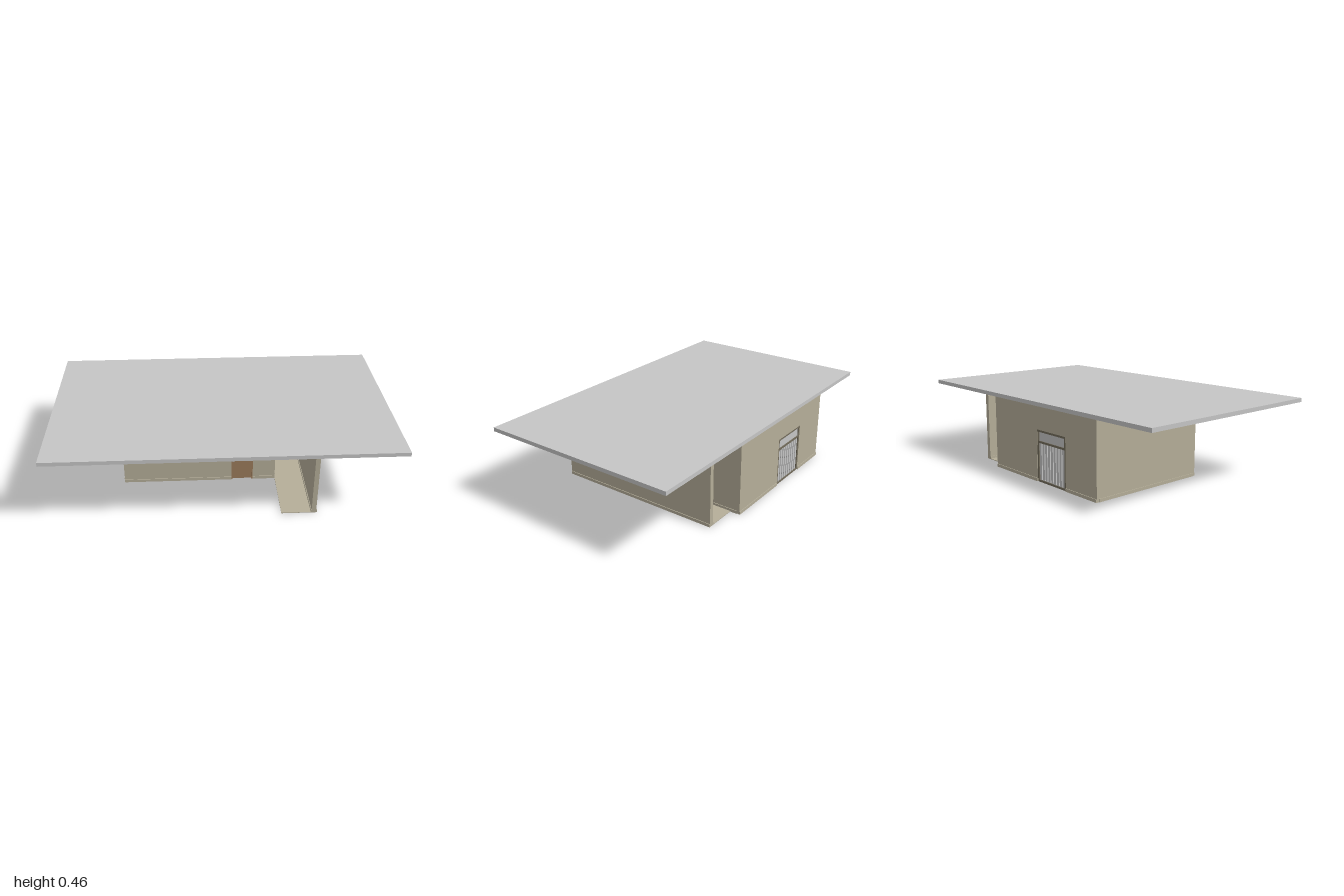
import * as THREE from 'three';

export function createModel() {
  const model = new THREE.Group();
  const mat = (name, color) => Object.assign(new THREE.MeshStandardMaterial({ color }), { name });
  const plaster = mat('plaster', 0xb5ae99);
  const concrete = mat('concrete', 0xc6c6c6);
  const wood = mat('wood', 0x9c7b5b);
  const frameMat = mat('dark frame', 0x736c5c);
  const metal = mat('light metal', 0xc4c4c4);

  // box given by its limits on each axis
  const box = (name, material, x0, x1, y0, y1, z0, z1, parent = model) => {
    const m = new THREE.Mesh(new THREE.BoxGeometry(x1 - x0, y1 - y0, z1 - z0), material);
    m.position.set((x0 + x1) / 2, (y0 + y1) / 2, (z0 + z1) / 2);
    m.name = name;
    parent.add(m);
    return m;
  };

  const TOP = 0.437, T = 0.018, SK = 0.004, SKH = 0.018, DOOR = 0.3;
  const X0 = -0.597, X1 = 0.327, Z0 = -0.583, Z1 = 0.163;

  // wall with an optional opening [from, to] reaching down to the ground
  const wall = (name, axis, a0, a1, c0, c1, opening) => {
    const g = new THREE.Group();
    g.name = name;
    const add = (part, s, e, y0, y1, d0, d1) => axis === 'x'
      ? box(part, plaster, s, e, y0, y1, d0, d1, g)
      : box(part, plaster, d0, d1, y0, y1, s, e, g);
    const runs = opening ? [[a0, opening[0]], [opening[1], a1]] : [[a0, a1]];
    for (const [s, e] of runs) {
      add('wallPanel', s, e, 0, TOP, c0, c1);
      add('skirting', s, e, 0, SKH, c0 - SK, c1 + SK);
    }
    if (opening) add('lintel', opening[0], opening[1], DOOR, TOP, c0, c1);
    model.add(g);
  };

  // roof slab
  box('roof', concrete, -1, 1, TOP, 0.46, -0.6, 0.6);

  // room walls, front door, back gate and side door openings
  const front = [0.058, 0.19], back = [-0.342, -0.088], side = [-0.16, -0.02];
  wall('frontWall', 'x', X0, X1, Z1 - T, Z1, front);
  wall('backWall', 'x', X0, X1, Z0, Z0 + T, back);
  wall('leftOuterWall', 'z', Z0 + T, Z1 - T, X0, X0 + T);
  wall('rightOuterWall', 'z', Z0 + T, Z1 - T, X1 - T, X1, side);
  wall('screenWall', 'z', -0.525, 0.513, 0.503, 0.53);

  // floors
  box('roomFloor', plaster, X0 + T, X1 - T, 0.012, 0.016, Z0 + T, Z1 - T);
  box('passageFloor', plaster, X1, 0.503, 0, 0.004, -0.525, 0.513);

  // front door with frame and handle
  const frontDoor = new THREE.Group();
  frontDoor.name = 'frontDoor';
  model.add(frontDoor);
  const J = 0.008;
  box('doorLeaf', wood, front[0] + J, front[1] - J, 0.003, DOOR - J, Z1 - 0.014, Z1 - 0.004, frontDoor);
  for (const x of [front[0], front[1] - J]) box('doorJamb', wood, x, x + J, 0, DOOR, Z1 - T, Z1 + 0.003, frontDoor);
  box('doorHead', wood, front[0], front[1], DOOR - J, DOOR, Z1 - T, Z1 + 0.003, frontDoor);
  box('doorHandle', metal, front[0] + 0.008, front[0] + 0.012, 0.13, 0.16, Z1 - 0.004, Z1 + 0.004, frontDoor);

  // side door opening on the passage
  const sideDoor = new THREE.Group();
  sideDoor.name = 'sideDoor';
  model.add(sideDoor);
  box('doorLeaf', wood, X1 - 0.014, X1 - 0.004, 0.003, DOOR - J, side[0] + J, side[1] - J, sideDoor);
  for (const z of [side[0], side[1] - J]) box('doorJamb', wood, X1 - T, X1 + 0.003, 0, DOOR, z, z + J, sideDoor);
  box('doorHead', wood, X1 - T, X1 + 0.003, DOOR - J, DOOR, side[0], side[1], sideDoor);

  // barred back gate with transom
  const gate = new THREE.Group();
  gate.name = 'backGate';
  model.add(gate);
  const zf = Z0 + 0.002, zb = Z0 + 0.014, F = 0.012;
  for (const x of [back[0], back[1] - F]) box('gatePost', frameMat, x, x + F, 0, DOOR, zf, zb, gate);
  for (const y of [0, 0.225, DOOR - F]) box('gateRail', frameMat, back[0] + F, back[1] - F, y, y + F, zf, zb, gate);
  box('transomPane', metal, back[0] + F, back[1] - F, 0.237, DOOR - F, Z0 + 0.007, Z0 + 0.01, gate);
  const bars = 9, span = back[1] - back[0] - 2 * F;
  for (let i = 0; i < bars; i++) {
    const x = back[0] + F + (i + 0.5) * span / bars;
    box('gateBar', metal, x - 0.009, x + 0.009, F, 0.225, Z0 + 0.005, Z0 + 0.011, gate);
  }

  // thin board on the passage side of the screen wall
  box('wallBoard', frameMat, 0.498, 0.503, 0.16, 0.28, -0.1, 0.06);

  return model;
}
